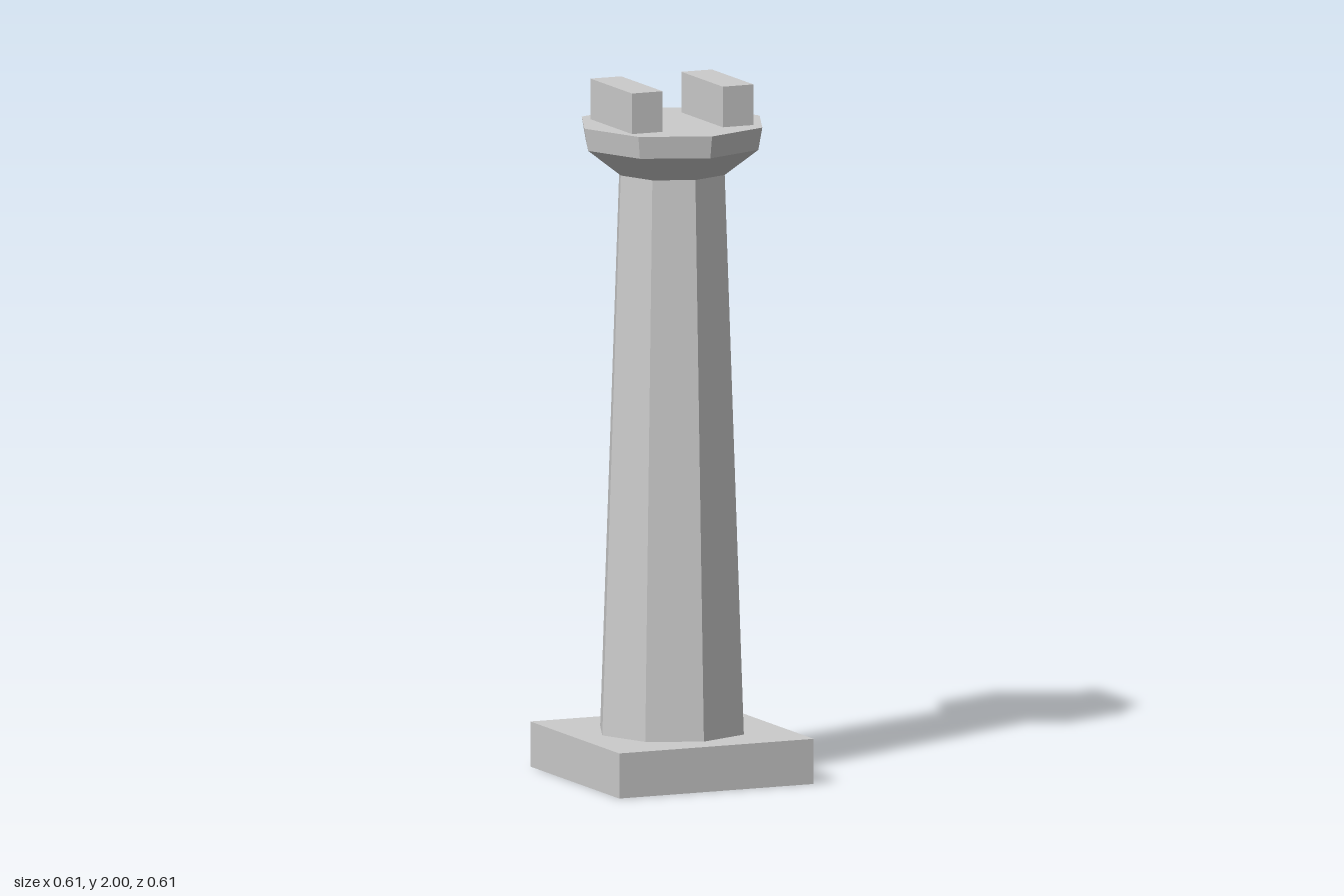
import * as THREE from 'three';

const SIDES = 8;

export function createModel() {
  const group = new THREE.Group();
  const material = new THREE.MeshStandardMaterial({ color: 0xcccccc, flatShading: true });

  const add = (name, geometry, x, y) => {
    const mesh = new THREE.Mesh(geometry, material);
    mesh.name = name;
    mesh.position.set(x, y, 0);
    group.add(mesh);
  };

  // Box standing between two heights
  const block = (name, width, depth, y0, y1, x = 0) =>
    add(name, new THREE.BoxGeometry(width, y1 - y0, depth), x, (y0 + y1) / 2);

  // Tapered octagonal section between two heights
  const section = (name, rBottom, rTop, y0, y1, open) =>
    add(name, new THREE.CylinderGeometry(rTop, rBottom, y1 - y0, SIDES, 1, open), 0, (y0 + y1) / 2);

  // Square plinth and tapering shaft
  block('plinth', 0.608, 0.608, 0, 0.13);
  section('shaft', 0.218, 0.16, 0.13, 1.74, true);

  // Capital: flared underside, then a shallow rim closed on top
  section('capitalFlare', 0.16, 0.262, 1.74, 1.818, true);
  section('capitalRim', 0.262, 0.274, 1.818, 1.883, false);

  // Pair of parallel blocks on top
  for (const [name, side] of [['leftTopBlock', 1], ['rightTopBlock', -1]]) {
    block(name, 0.096, 0.284, 1.883, 2, side * 0.142);
  }

  return group;
}
